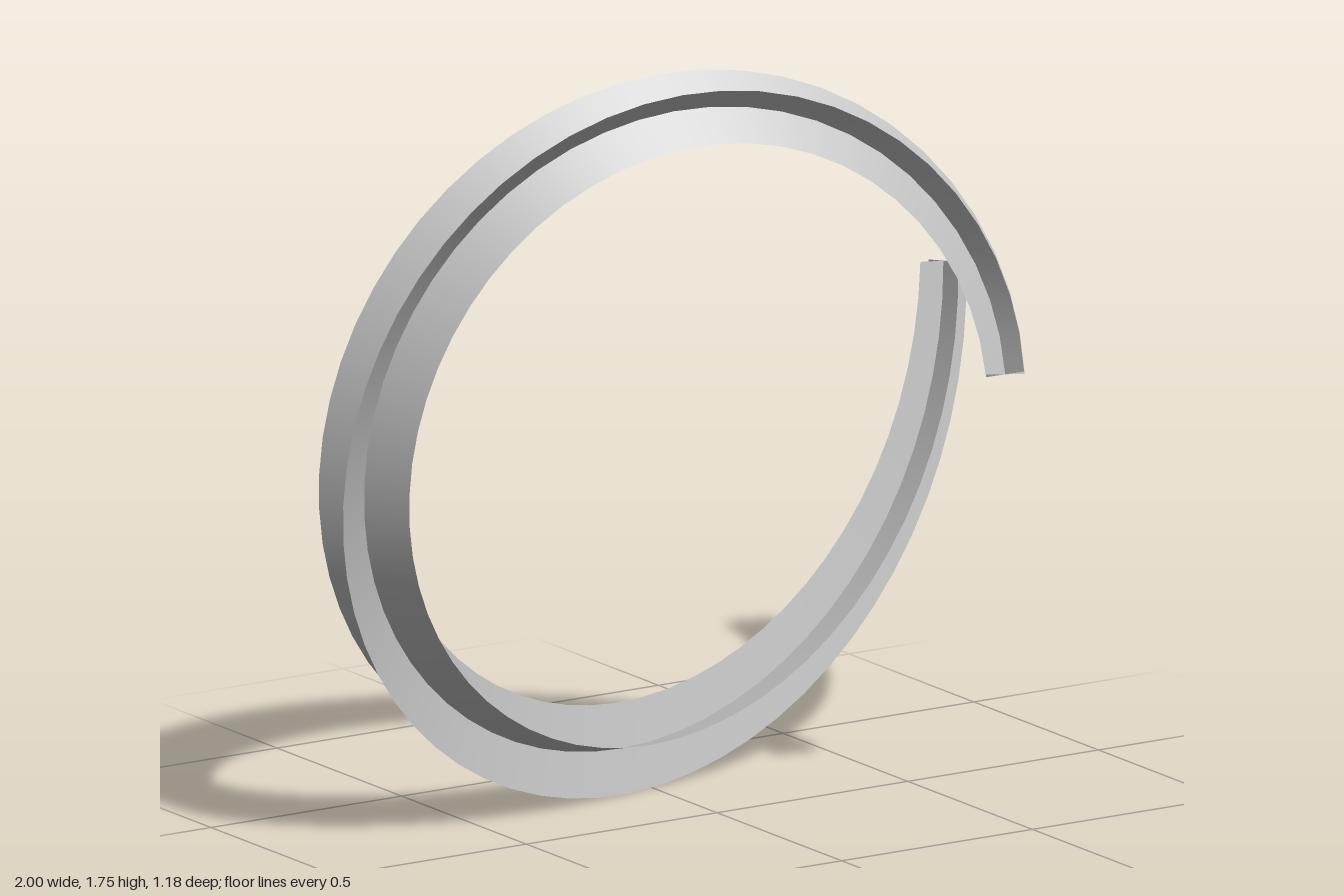
import * as THREE from 'three';

// Shrinking coil: one turn around the z axis while advancing towards +z
class Coil extends THREE.Curve {
  getPoint(t, target = new THREE.Vector3()) {
    const angle = -(0.019 + t * (Math.PI * 2 - 0.074));
    const r = 1.055 - 0.53 * t;
    return target.set(-0.115 + r * Math.cos(angle), 1.026 + r * Math.sin(angle), -0.53 + 1.06 * t);
  }
}

const SEGMENTS = 60;

// Flat ribbon reaching to both sides of the curve along the given frame axis
function ribbon(curve, axes) {
  const positions = [], index = [];
  for (let i = 0; i <= SEGMENTS; i++) {
    const u = i / SEGMENTS;
    const half = 0.06 + 0.05 * Math.sin(Math.PI * u); // widest in the middle
    const p = curve.getPointAt(u);
    for (const side of [-1, 1]) {
      positions.push(...p.clone().addScaledVector(axes[i], side * half).toArray());
    }
    if (i < SEGMENTS) {
      const a = i * 2;
      index.push(a, a + 1, a + 2, a + 1, a + 3, a + 2);
    }
  }
  const geometry = new THREE.BufferGeometry();
  geometry.setAttribute('position', new THREE.Float32BufferAttribute(positions, 3));
  geometry.setIndex(index);
  geometry.computeVertexNormals();
  return geometry;
}

export function createModel() {
  const group = new THREE.Group();
  group.name = 'crossRibbonCoil';
  const grey = new THREE.MeshStandardMaterial({ color: 0xc0c0c0, side: THREE.DoubleSide });
  grey.name = 'light grey';

  const curve = new Coil();
  const frames = curve.computeFrenetFrames(SEGMENTS, false);

  // Two ribbons crossing at right angles along the coil
  const parts = { radialRibbon: frames.normals, axialRibbon: frames.binormals };
  for (const [name, axes] of Object.entries(parts)) {
    const mesh = new THREE.Mesh(ribbon(curve, axes), grey);
    mesh.name = name;
    group.add(mesh);
  }
  return group;
}
